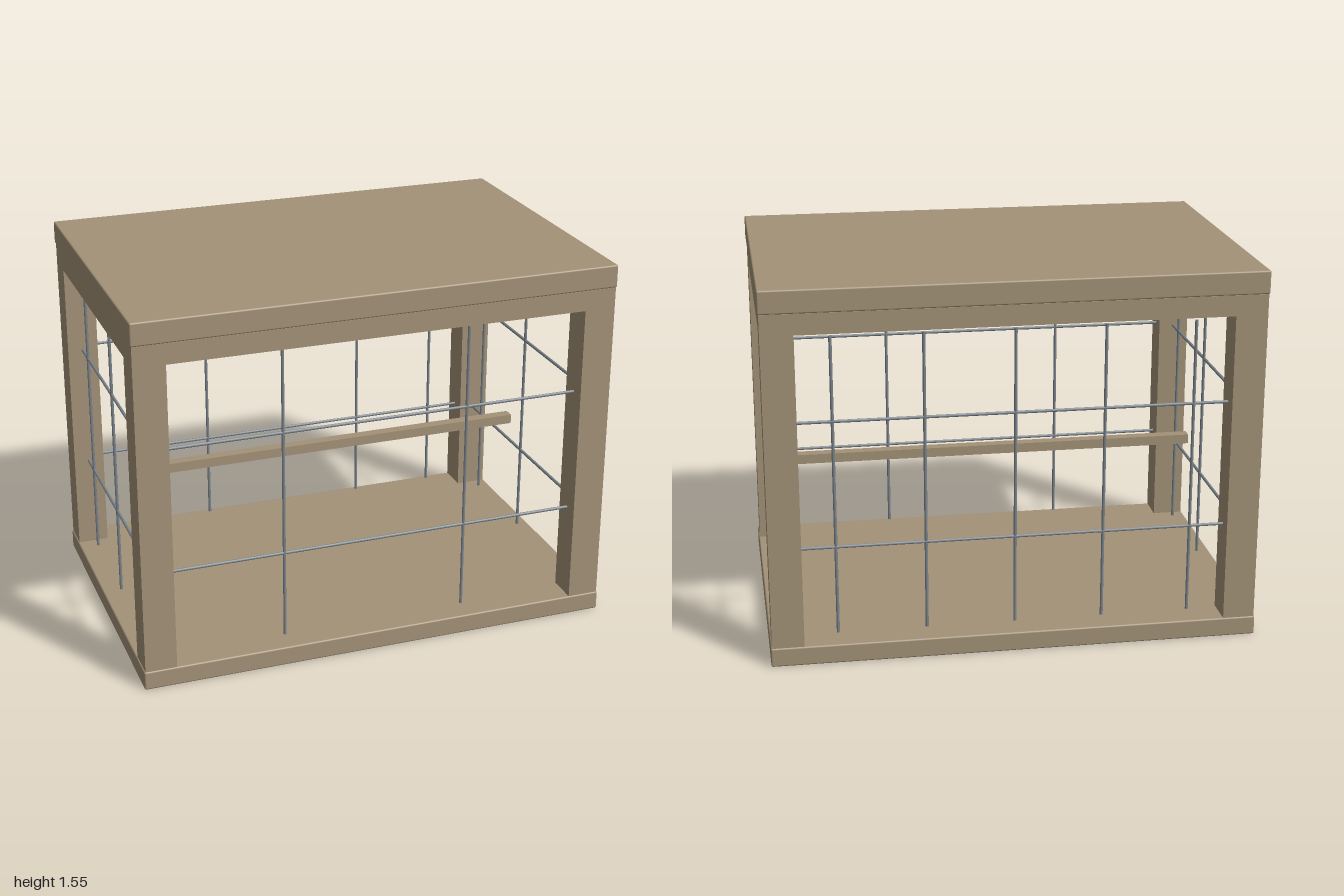
import * as THREE from 'three';
import { RoundedBoxGeometry } from 'three/addons/geometries/RoundedBoxGeometry.js';

export function createModel() {
  const model = new THREE.Group();
  model.name = 'cage';
  const wood = new THREE.MeshStandardMaterial({ name: 'wood', color: 0xa39278 });
  const metal = new THREE.MeshStandardMaterial({ name: 'metal', color: 0x7c858c });

  const HX = 0.995, HZ = 0.662;          // half width and depth of the frame
  const POST = 0.13;                     // square post thickness
  const FLOOR = 0.08, BEAM = 1.375, ROOF = 1.46, TOP = 1.555;
  const BAR = 0.0065;                    // bar radius

  const add = (name, geometry, material, x, y, z) => {
    const mesh = new THREE.Mesh(geometry, material);
    mesh.name = name;
    mesh.position.set(x, y, z);
    model.add(mesh);
    return mesh;
  };

  // Floor and roof slabs with softened edges
  const slab = (name, y0, y1) => add(name,
    new RoundedBoxGeometry(2, y1 - y0, 1.33, 2, 0.007), wood, 0, (y0 + y1) / 2, 0);
  slab('base', 0, FLOOR);
  slab('roof', ROOF, TOP);

  // Corner posts
  const px = HX - POST / 2, pz = HZ - POST / 2;
  for (const sx of [-1, 1]) for (const sz of [-1, 1]) {
    add('post', new THREE.BoxGeometry(POST, ROOF - FLOOR, POST), wood,
      sx * px, (ROOF + FLOOR) / 2, sz * pz);
  }

  // Top beams between the posts
  const innerX = HX - POST, innerZ = HZ - POST;
  const beamY = (BEAM + ROOF) / 2, beamH = ROOF - BEAM;
  for (const s of [-1, 1]) {
    add('longBeam', new THREE.BoxGeometry(innerX * 2, beamH, POST), wood, 0, beamY, s * pz);
    add('sideBeam', new THREE.BoxGeometry(POST, beamH, innerZ * 2), wood, s * px, beamY, 0);
  }

  // Perch across the middle
  add('perch', new THREE.BoxGeometry(innerX * 2, 0.04, 0.046), wood, 0, 0.646, 0);

  // Upright bars: two in front, five behind, three on each side
  const upright = new THREE.CylinderGeometry(BAR, BAR, 1.245, 8);
  const addUpright = (x, z) => add('uprightBar', upright, metal, x, 0.727, z);
  for (const x of [-0.39, 0.39]) addUpright(x, pz);
  for (let i = -2; i <= 2; i++) addUpright(i * 0.362, -pz);
  for (const s of [-1, 1]) for (const z of [-0.434, 0, 0.434]) addUpright(s * px, z);

  // Two cross bars on every wall
  const longBar = new THREE.CylinderGeometry(BAR, BAR, innerX * 2 + 0.005, 8).rotateZ(Math.PI / 2);
  const sideBar = new THREE.CylinderGeometry(BAR, BAR, innerZ * 2 + 0.005, 8).rotateX(Math.PI / 2);
  for (const y of [0.476, 1.003]) for (const s of [-1, 1]) {
    add('longCrossBar', longBar, metal, 0, y, s * pz);
    add('sideCrossBar', sideBar, metal, s * px, y, 0);
  }
  return model;
}
